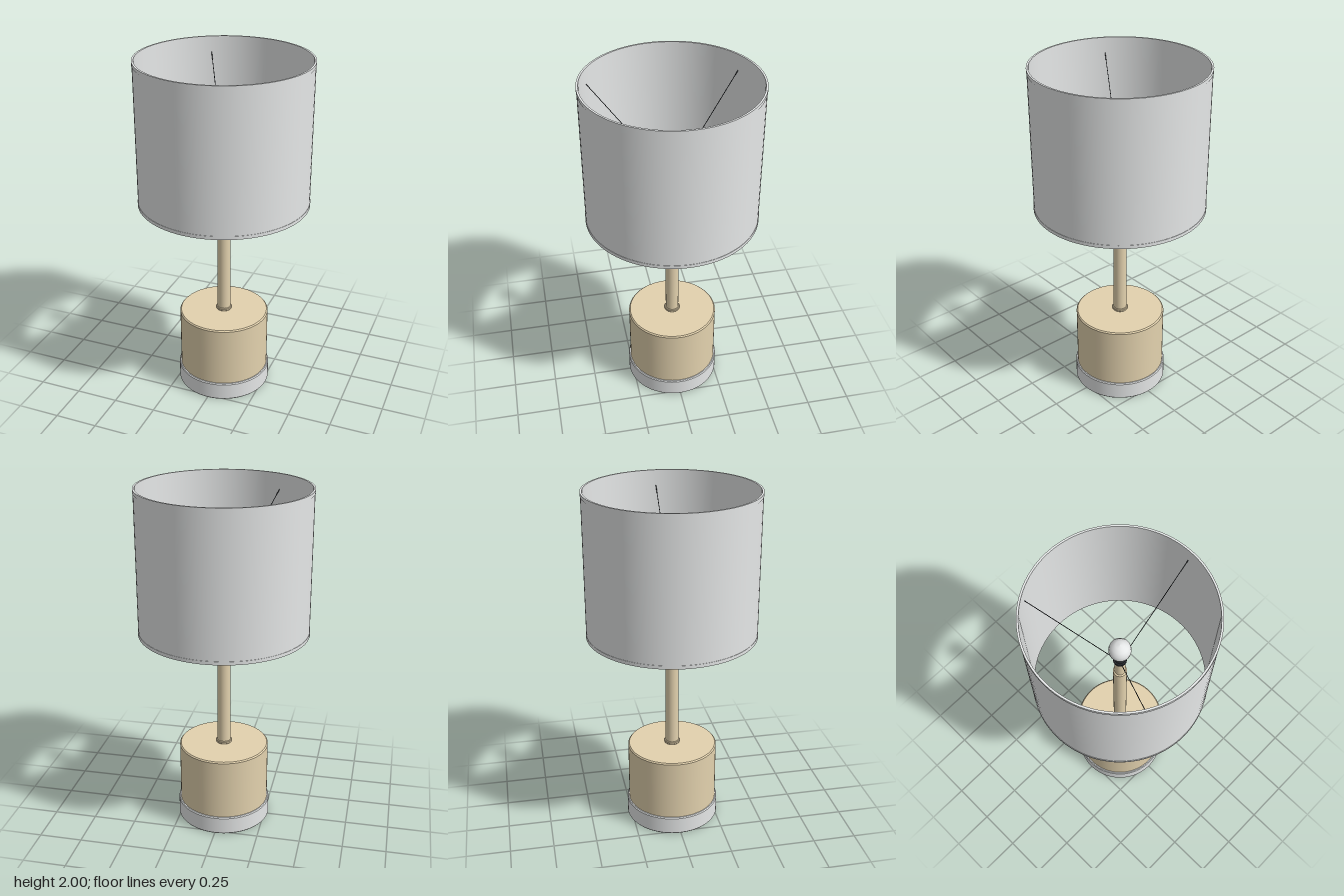
import * as THREE from 'three';

export function createModel() {
  const lamp = new THREE.Group();
  lamp.name = 'tableLamp';

  const white = new THREE.MeshStandardMaterial({ name: 'white', color: 0xe9ebeb });
  const beige = new THREE.MeshStandardMaterial({ name: 'beige', color: 0xe3d2ae });
  const darkMetal = new THREE.MeshStandardMaterial({ name: 'darkMetal', color: 0x2a2e33 });

  const add = (name, geometry, material) => {
    const mesh = new THREE.Mesh(geometry, material);
    mesh.name = name;
    lamp.add(mesh);
    return mesh;
  };

  // Turned part from [radius, height] points; each corner is doubled to stay sharp
  const turned = (name, profile, material, segments = 64) => {
    const group = new THREE.Group();
    group.name = name;
    for (let i = 0; i < profile.length - 1; i++) {
      const pts = [profile[i], profile[i + 1]].map(([r, y]) => new THREE.Vector2(r, y));
      const face = new THREE.Mesh(new THREE.LatheGeometry(pts, segments), material);
      face.name = name + 'Face';
      group.add(face);
    }
    lamp.add(group);
    return group;
  };

  // Base: white foot and beige drum
  turned('foot', [[0, 0], [0.268, 0], [0.273, 0.006], [0.273, 0.104], [0.268, 0.11], [0.255, 0.11]], white);
  turned('baseDrum', [[0.262, 0.1], [0.262, 0.468], [0.255, 0.475], [0, 0.475]], beige);

  // Stem with its foot ring and narrower neck
  turned('stemRing', [[0.043, 0.475], [0.046, 0.479], [0.046, 0.488], [0.043, 0.492], [0.03, 0.492]], beige, 32);
  turned('stem', [[0.038, 0.475], [0.038, 1.295], [0.03, 1.3], [0.03, 1.44]], beige, 32);

  // Socket and bulb
  turned('socket', [[0.03, 1.44], [0.036, 1.44], [0.036, 1.46], [0.028, 1.46], [0.028, 1.5]], darkMetal, 32);
  const bulb = [[0.026, 1.49], [0.03, 1.51], [0.048, 1.54], [0.058, 1.565], [0.06, 1.585],
    [0.056, 1.607], [0.043, 1.628], [0.023, 1.641], [0, 1.645]];
  add('bulb', new THREE.LatheGeometry(bulb.map(([r, y]) => new THREE.Vector2(r, y)), 32), white);

  // Three wires carrying the shade
  for (let i = 0; i < 3; i++) {
    const a = (i * Math.PI * 2) / 3;
    const at = (r, y) => new THREE.Vector3(Math.cos(a) * r, y, Math.sin(a) * r);
    const path = new THREE.LineCurve3(at(0.03, 1.45), at(0.476, 1.91));
    add('shadeWire', new THREE.TubeGeometry(path, 1, 0.002, 6), darkMetal);
  }

  // Hollow drum shade with thin hems at both ends
  turned('shade', [[0.474, 1.18], [0.483, 1.18], [0.483, 2], [0.474, 2], [0.474, 1.18]], white, 96);
  for (const y of [1.18, 1.98]) {
    turned('shadeHem', [[0.482, y], [0.485, y], [0.485, y + 0.02], [0.482, y + 0.02]], white, 96);
  }

  return lamp;
}
